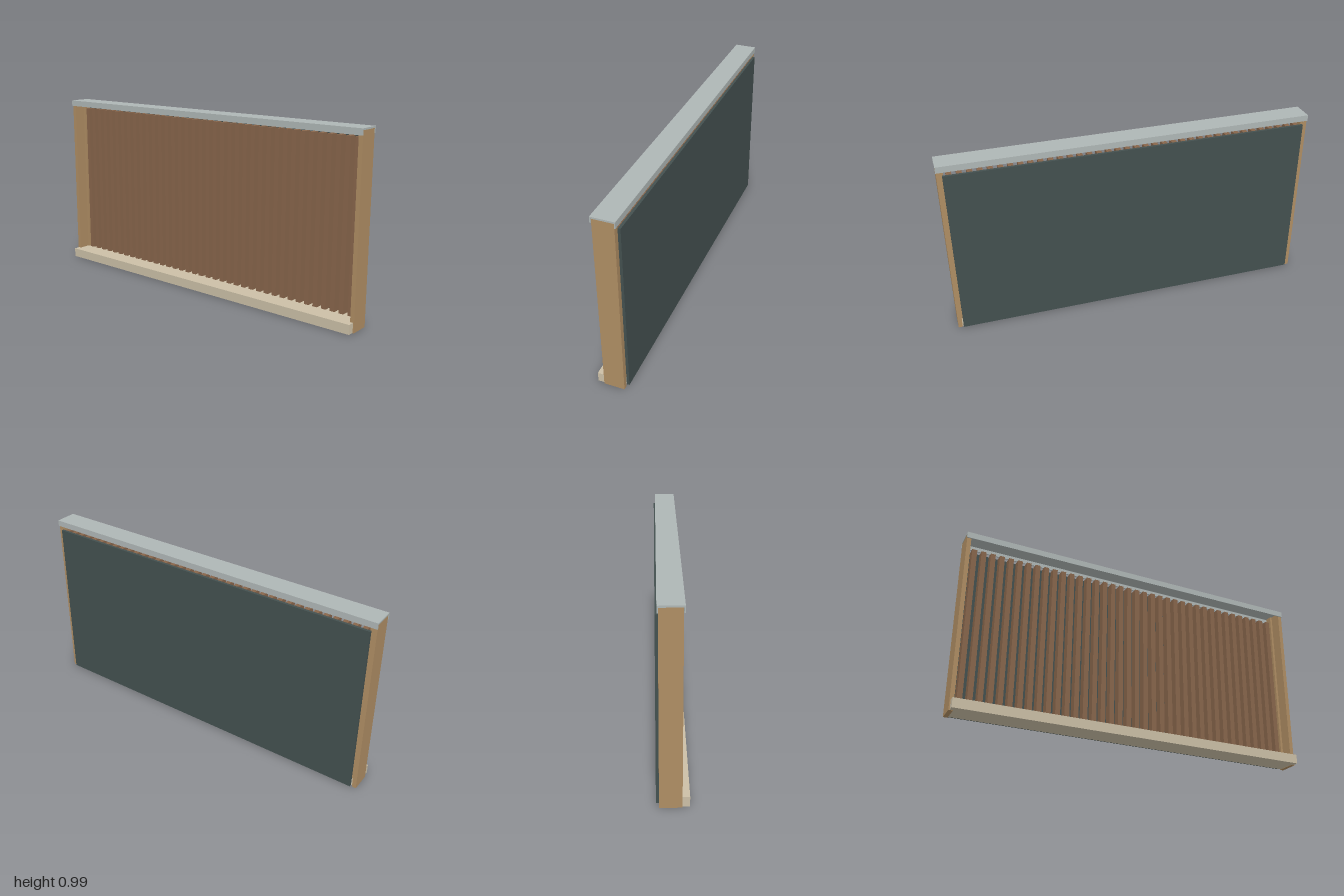
import * as THREE from 'three';

const mat = (name, color) => {
  const m = new THREE.MeshStandardMaterial({ color });
  m.name = name;
  return m;
};

export function createModel() {
  const root = new THREE.Group();
  root.name = 'slattedScreen';
  const metal = mat('galvanised grey', 0xaeb6b5);
  const oak = mat('light oak', 0xae8d63);
  const stone = mat('pale stone', 0xcbbfa6);
  const walnut = mat('walnut brown', 0x87654b);
  const felt = mat('dark slate', 0x43504f);

  // Box given by its lower and upper corners
  const box = (name, material, [x0, y0, z0], [x1, y1, z1], parent = root) => {
    const mesh = new THREE.Mesh(new THREE.BoxGeometry(x1 - x0, y1 - y0, z1 - z0), material);
    mesh.position.set((x0 + x1) / 2, (y0 + y1) / 2, (z0 + z1) / 2);
    mesh.name = name;
    parent.add(mesh);
    return mesh;
  };

  // Backing panel
  box('backPanel', felt, [-0.97, 0.008, -0.077], [0.97, 0.942, -0.063]);

  // Bottom sill, projecting to the front
  box('baseSill', stone, [-0.992, 0.002, -0.056], [0.992, 0.053, 0.08]);

  // End posts with a narrow inner strip
  for (const [side, s] of [['left', 1], ['right', -1]]) {
    const post = new THREE.Group();
    post.name = side + 'Post';
    root.add(post);
    const span = (a, b) => (s > 0 ? [a, b] : [-b, -a]);
    const [a, b] = span(0.976, 0.998);
    box('postBoard', oak, [a, 0, -0.063], [b, 0.984, 0.045], post);
    const [c, d] = span(0.963, 0.976);
    box('postStrip', oak, [c, 0.053, -0.06], [d, 0.984, -0.02], post);
  }

  // Top cap: an inverted channel, open at both ends
  const profile = new THREE.Shape([
    [-0.069, 0.96], [-0.069, 0.993], [0.052, 0.993], [0.052, 0.96],
    [0.046, 0.96], [0.046, 0.984], [-0.063, 0.984], [-0.063, 0.96],
  ].map(([z, y]) => new THREE.Vector2(-z, y)));
  const capGeometry = new THREE.ExtrudeGeometry(profile, { depth: 2, bevelEnabled: false });
  capGeometry.translate(0, 0, -1).rotateY(Math.PI / 2);
  const cap = new THREE.Mesh(capGeometry, metal);
  cap.rotation.y = Math.PI;
  cap.name = 'topCap';
  // The profile's z axis is mirrored by the turn, so face it forwards again
  cap.rotation.y = 0;
  root.add(cap);

  // Row of upright slats
  const slats = new THREE.Group();
  slats.name = 'slats';
  root.add(slats);
  const count = 38, pitch = 1.926 / count;
  for (let i = 0; i < count; i++) {
    const x = (i - (count - 1) / 2) * pitch;
    box('slat', walnut, [x - 0.0135, 0.053, -0.063], [x + 0.0135, 0.942, -0.02], slats);
  }
  return root;
}
